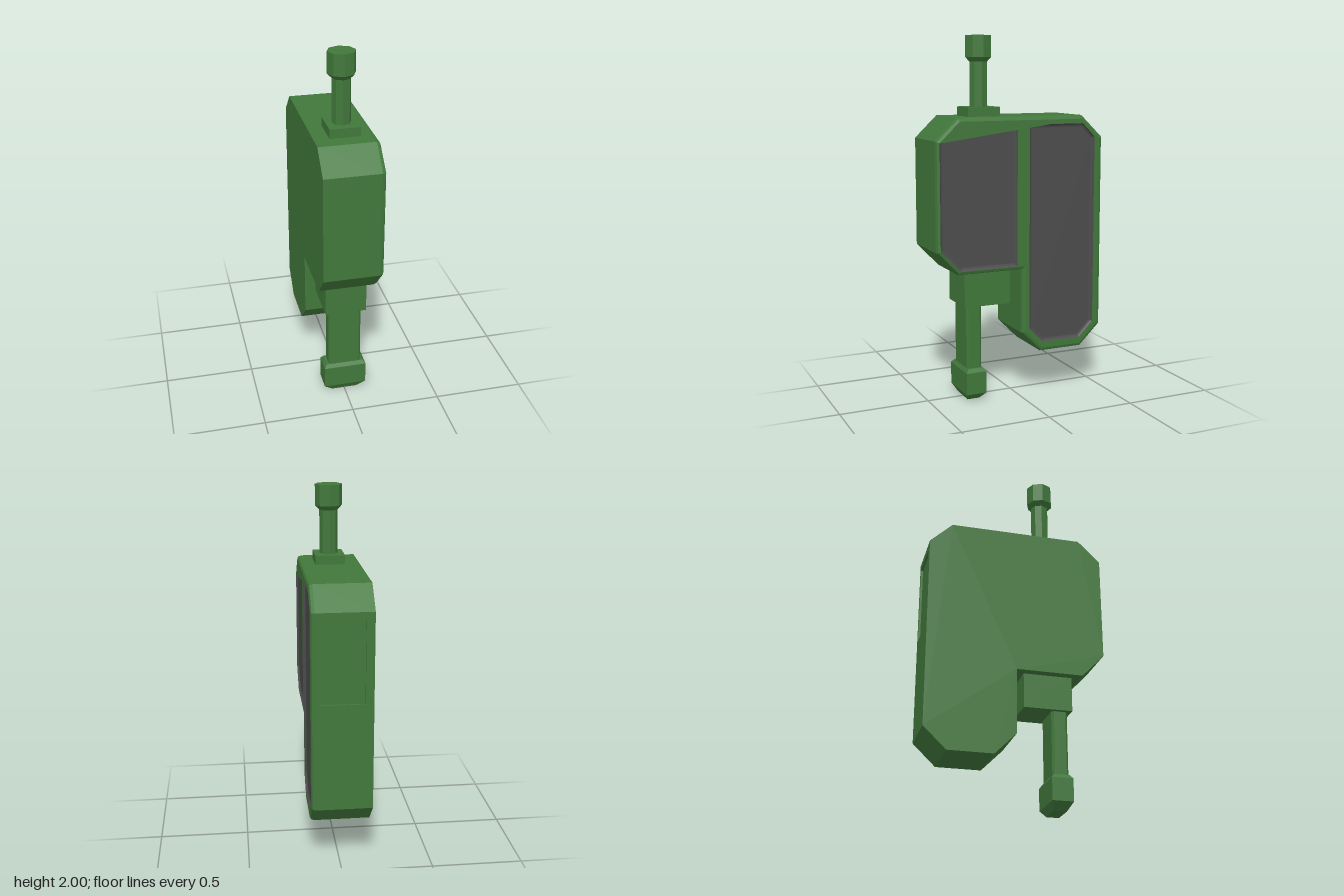
import * as THREE from 'three';

const green = new THREE.MeshStandardMaterial({ color: 0x41783b, flatShading: true });
const dark = new THREE.MeshStandardMaterial({ color: 0x4c4c4c, flatShading: true });

const P = (list) => list.map(([u, v]) => new THREE.Vector2(u, v));
const rect = (u0, v0, u1, v1) => P([[u0, v0], [u1, v0], [u1, v1], [u0, v1]]);

// Rectangle centred on the origin with cut corners
const cutRect = (a, b, c) => P([
  [-a + c, -b], [a - c, -b], [a, -b + c], [a, b - c],
  [a - c, b], [-a + c, b], [-a, b - c], [-a, -b + c],
]);

// Moves every edge of a counter-clockwise polygon inward by d
function inset(poly, d) {
  const n = poly.length;
  return poly.map((p, i) => {
    const e = p.clone().sub(poly[(i + n - 1) % n]).normalize();
    const f = poly[(i + 1) % n].clone().sub(p).normalize();
    const k = d / (1 + e.dot(f));
    return new THREE.Vector2(p.x - (e.y + f.y) * k, p.y + (e.x + f.x) * k);
  });
}

// Joins polygons stacked along w; the end faces are optional and the top one may have holes
function loft(sections, { bottom = true, top = true, holes = [], skip = -1 } = {}) {
  const pos = [];
  const put = (p, w) => pos.push(p.x, p.y, w);
  for (let s = 0; s + 1 < sections.length; s++) {
    const [a, wa] = sections[s], [b, wb] = sections[s + 1];
    for (let i = 0; i < a.length; i++) {
      if (s === 0 && i === skip) continue;
      const j = (i + 1) % a.length;
      put(a[i], wa); put(a[j], wa); put(b[j], wb);
      put(a[i], wa); put(b[j], wb); put(b[i], wb);
    }
  }
  const cap = ([poly, w], up, cut) => {
    const inner = cut.map((h) => [...h].reverse());
    const all = [poly, ...inner].flat();
    for (const [a, b, c] of THREE.ShapeUtils.triangulateShape(poly, inner)) {
      for (const i of up ? [a, b, c] : [a, c, b]) put(all[i], w);
    }
  };
  if (bottom) cap(sections[0], false, []);
  if (top) cap(sections[sections.length - 1], true, holes);
  const g = new THREE.BufferGeometry();
  g.setAttribute('position', new THREE.Float32BufferAttribute(pos, 3));
  g.computeVertexNormals();
  return g;
}

export function createModel() {
  const model = new THREE.Group();
  const add = (parent, name, geometry, material = green, x = 0, y = 0, z = 0) => {
    const m = new THREE.Mesh(geometry, material);
    m.name = name;
    m.position.set(x, y, z);
    parent.add(m);
    return m;
  };

  // Casing, drawn in its side profile (u = -z, v = y) and built up along x
  const casing = new THREE.Group();
  casing.name = 'casing';
  casing.rotation.y = Math.PI / 2;
  model.add(casing);

  const outline = P([
    [-0.495, 0.86], [-0.37, 0.73], [0, 0.73], [0, 0.37], [0.12, 0.25], [0.37, 0.25],
    [0.495, 0.37], [0.495, 1.45], [0.37, 1.57], [-0.37, 1.57], [-0.495, 1.45],
  ]);
  const panels = {
    frontPanel: P([
      [-0.475, 0.87], [-0.36, 0.752], [-0.028, 0.752], [-0.028, 1.545],
      [-0.37, 1.545], [-0.475, 1.44],
    ]),
    rearPanel: P([
      [0.045, 0.39], [0.13, 0.305], [0.36, 0.305], [0.445, 0.39],
      [0.445, 1.45], [0.37, 1.525], [0.045, 1.525],
    ]),
  };
  const backEdge = 6;
  add(casing, 'body', loft([
    [outline, -0.165], [outline, 0.141], [inset(outline, 0.006), 0.157], [inset(outline, 0.02), 0.163],
  ], { holes: Object.values(panels), skip: backEdge }));

  // Dark panels sunk into the side
  for (const [name, poly] of Object.entries(panels)) {
    add(casing, name, loft([
      [poly, 0.163], [inset(poly, 0.008), 0.153], [inset(poly, 0.018), 0.15],
    ], { bottom: false }), dark);
  }

  // Back wall with a shallow rectangular hatch
  const back = new THREE.Group();
  back.name = 'backWall';
  back.applyMatrix4(new THREE.Matrix4().makeBasis(
    new THREE.Vector3(0, 1, 0), new THREE.Vector3(0, 0, 1), new THREE.Vector3(1, 0, 0),
  ));
  casing.add(back);
  const hatch = rect(0.96, -0.12, 1.41, 0.12);
  add(back, 'backFace', loft([[rect(0.37, -0.165, 1.45, 0.141), 0.495]], { bottom: false, holes: [hatch] }));
  add(back, 'backHatch', loft([[hatch, 0.495], [hatch, 0.483]], { bottom: false }));

  // Knob on top
  add(model, 'knobPlate', new THREE.BoxGeometry(0.165, 0.06, 0.186), green, 0, 1.59, 0.188);
  const knob = [[0, 1.61], [0.051, 1.61], [0.051, 1.86], [0.075, 1.885], [0.075, 2], [0, 2]];
  add(model, 'knob', new THREE.LatheGeometry(P(knob), 8), green, 0, 0, 0.188);

  // Plunger underneath: collar, flat rod and chamfered foot
  add(model, 'plungerCollar', new THREE.BoxGeometry(0.23, 0.2, 0.27), green, 0, 0.638, 0.187);
  const upright = (name, sections) => {
    add(model, name, loft(sections), green, 0, 0, 0.257).rotation.x = -Math.PI / 2;
  };
  const rod = cutRect(0.092, 0.044, 0.012);
  upright('plungerRod', [[rod, 0.17], [rod, 0.55]]);
  const block = (a, b) => rect(-a, -b, a, b);
  upright('plungerFoot', [
    [block(0.07, 0.034), 0], [block(0.12, 0.058), 0.042],
    [block(0.12, 0.058), 0.165], [block(0.105, 0.044), 0.185],
  ]);
  return model;
}
